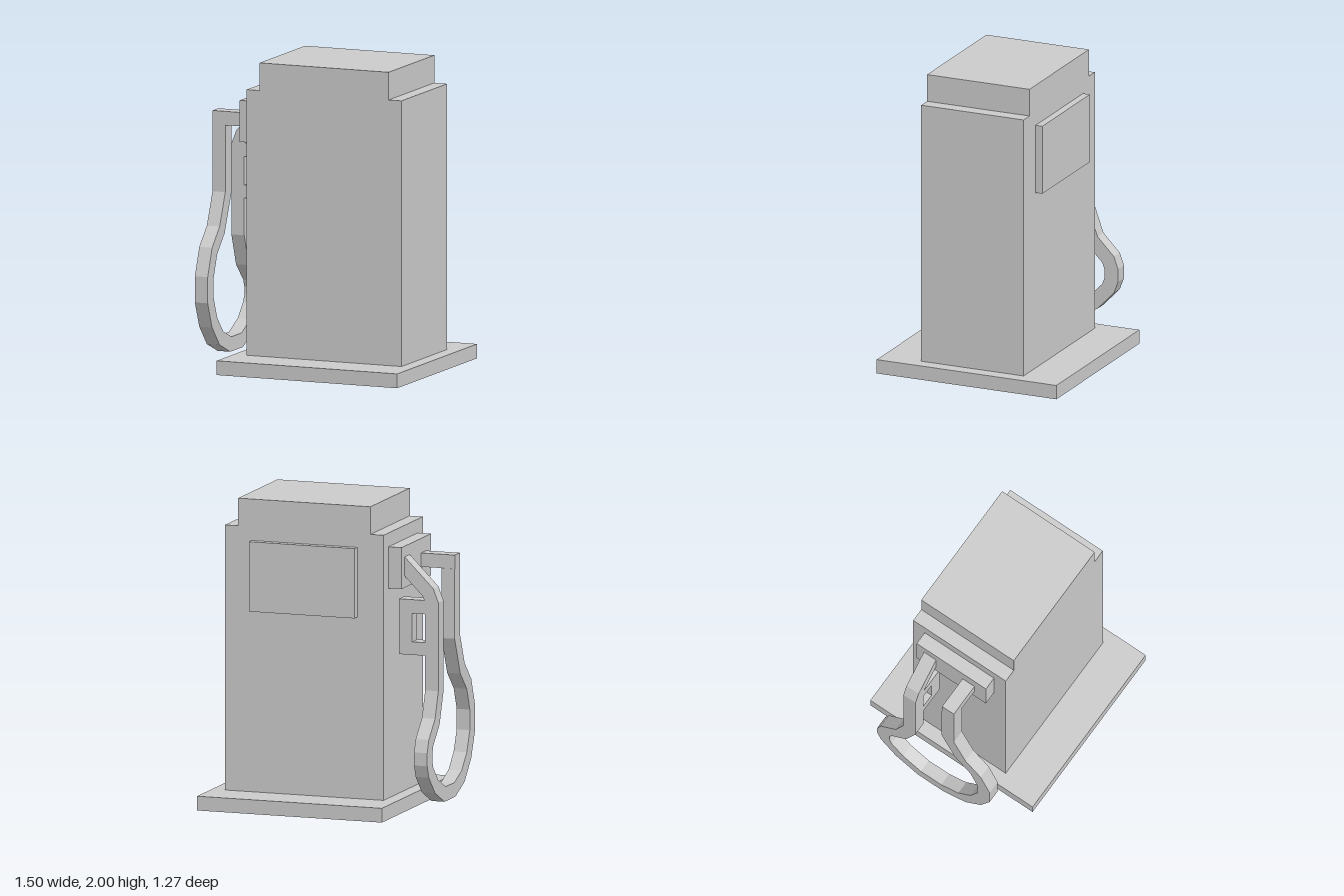
import * as THREE from 'three';

const material = new THREE.MeshStandardMaterial({ color: 0xcccccc, flatShading: true });

const shapeOf = (pts) => new THREE.Shape(pts.map(([x, y]) => new THREE.Vector2(x, y)));

// Flat outline in x-y, extruded from z0 to z1
function slab(pts, z0, z1) {
  const g = new THREE.ExtrudeGeometry(shapeOf(pts), { depth: z1 - z0, bevelEnabled: false });
  return g.translate(0, 0, z0);
}

function block(x0, x1, y0, y1, z0, z1) {
  return new THREE.BoxGeometry(x1 - x0, y1 - y0, z1 - z0)
    .translate((x0 + x1) / 2, (y0 + y1) / 2, (z0 + z1) / 2);
}

// Mitred offset of an open path towards its right-hand side
function offsetPath(pts, width) {
  const p = pts.map(([x, y]) => new THREE.Vector2(x, y));
  const normals = p.slice(1).map((b, i) => {
    const d = b.clone().sub(p[i]).normalize();
    return new THREE.Vector2(d.y, -d.x);
  });
  return p.map((v, i) => {
    const a = normals[Math.max(i - 1, 0)];
    const b = normals[Math.min(i, normals.length - 1)];
    const m = a.clone().add(b).normalize();
    const r = v.clone().addScaledVector(m, width / m.dot(a));
    return [r.x, r.y];
  });
}

export function createModel() {
  const model = new THREE.Group();
  model.name = 'fuelPump';
  const add = (name, geometry) => {
    const mesh = new THREE.Mesh(geometry, material);
    mesh.name = name;
    model.add(mesh);
  };

  add('base', block(-0.52, 0.745, 0, 0.093, -0.635, 0.635));

  // Cabinet with a stepped top
  add('cabinet', slab([
    [-0.43, 0.093], [0.655, 0.093], [0.655, 1.82], [0.565, 1.82],
    [0.565, 2], [-0.34, 2], [-0.34, 1.82], [-0.43, 1.82],
  ], -0.362, 0.362));

  add('displayPanel', block(-0.25, 0.473, 1.275, 1.73, -0.41, -0.36));
  add('nozzleHolder', block(-0.52, -0.43, 1.46, 1.73, -0.272, 0.27));

  // Hose: outer outline in z-y, from the arm down round to the nozzle
  add('hoseArm', block(-0.75, -0.52, 1.545, 1.635, 0.088, 0.18));
  const outer = [
    [0.18, 1.545], [0.18, 1.11], [0.27, 0.9], [0.39, 0.78], [0.46, 0.6], [0.46, 0.43],
    [0.39, 0.262], [0.27, 0.13], [0.1, 0.06], [-0.1, 0.06], [-0.275, 0.145],
    [-0.39, 0.265], [-0.42, 0.345], [-0.42, 0.43], [-0.39, 0.512], [-0.275, 0.63],
    [-0.215, 0.8], [-0.215, 1.375],
  ];
  const inner = offsetPath(outer, 0.095).reverse();
  const hose = new THREE.ExtrudeGeometry(shapeOf([...outer, ...inner]), { depth: 0.09, bevelEnabled: false });
  add('hose', hose.rotateY(-Math.PI / 2).translate(-0.66, 0, 0));

  // Slanted spout running into the holder
  add('nozzleSpout', slab([
    [-0.75, 1.375], [-0.66, 1.375], [-0.64, 1.415], [-0.52, 1.535], [-0.52, 1.66], [-0.715, 1.465],
  ], -0.215, -0.12));

  // Trigger guard
  add('triggerGuard', slab([
    [-0.66, 1.025], [-0.48, 1.025], [-0.48, 1.385], [-0.66, 1.385],
    [-0.66, 1.295], [-0.57, 1.295], [-0.57, 1.11], [-0.66, 1.11],
  ], -0.215, -0.12));

  return model;
}
